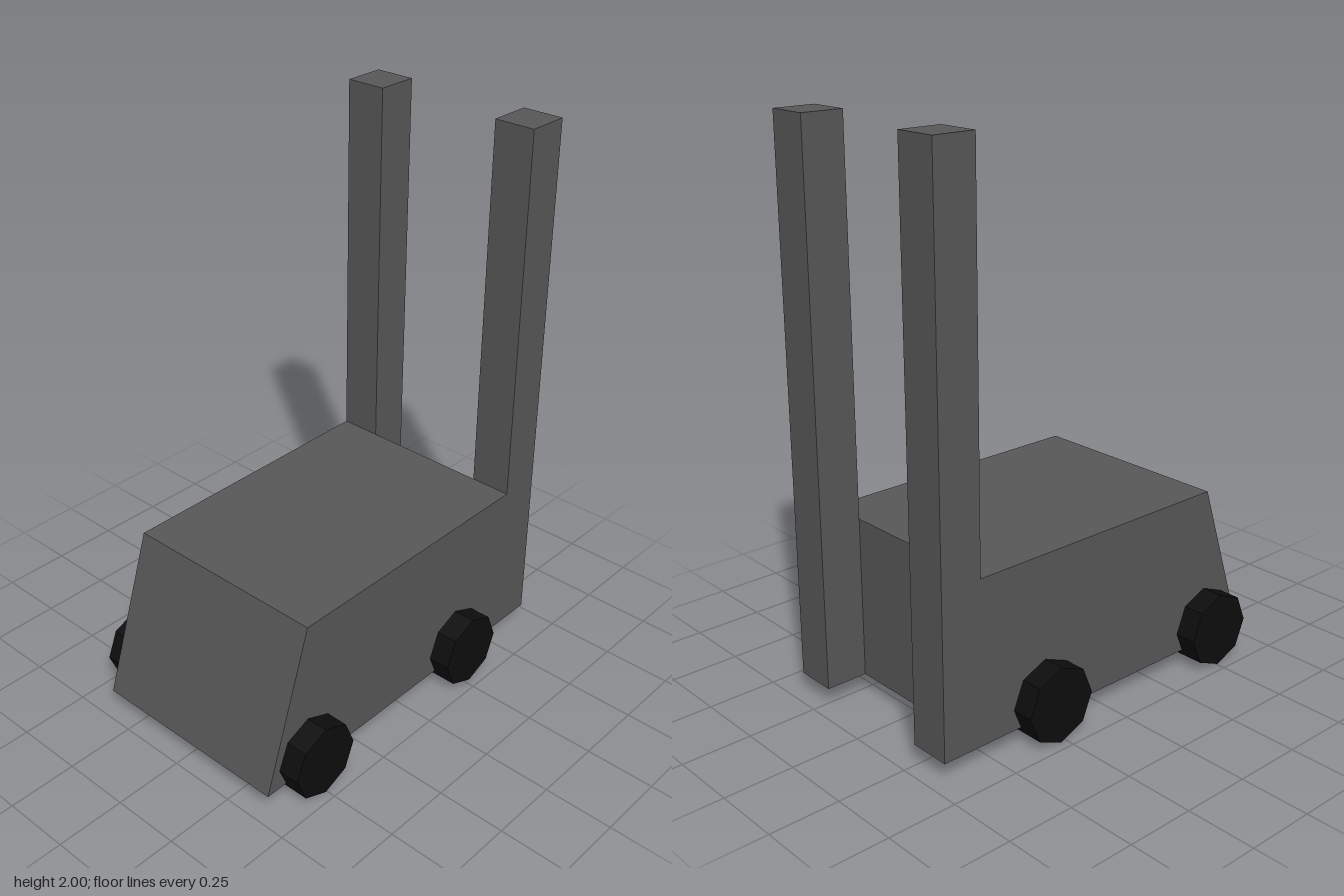
import * as THREE from 'three';

export function createModel() {
  const model = new THREE.Group();
  model.name = 'forklift';
  const bodyGrey = new THREE.MeshStandardMaterial({ color: 0x575757 });
  bodyGrey.name = 'bodyGrey';
  const tyreBlack = new THREE.MeshStandardMaterial({ color: 0x0d0d0d });
  tyreBlack.name = 'tyreBlack';

  const add = (name, geometry, material, x, y, z) => {
    const mesh = new THREE.Mesh(geometry, material);
    mesh.name = name;
    mesh.position.set(x, y, z);
    model.add(mesh);
  };

  const bottom = 0.063, deck = 0.645, top = 2;
  const halfWidth = 0.387, postStart = 0.541, postEnd = 0.695, postWidth = 0.151;

  // Body: side profile with one sloped end, extruded across the width
  const profile = new THREE.Shape([
    new THREE.Vector2(-0.697, bottom),
    new THREE.Vector2(postStart, bottom),
    new THREE.Vector2(postStart, deck),
    new THREE.Vector2(-0.504, deck),
  ]);
  const body = new THREE.ExtrudeGeometry(profile, { depth: halfWidth * 2, bevelEnabled: false });
  add('body', body, bodyGrey, 0, 0, -halfWidth);

  // Mast posts and eight-sided wheels, mirrored across z
  const post = new THREE.BoxGeometry(postEnd - postStart, top - bottom, postWidth);
  const wheel = new THREE.CylinderGeometry(0.136, 0.136, 0.192, 8).toNonIndexed();
  wheel.rotateX(Math.PI / 2);
  wheel.computeVertexNormals();

  for (const [side, s] of [['left', 1], ['right', -1]]) {
    add(side + 'MastPost', post, bodyGrey,
      (postStart + postEnd) / 2, (top + bottom) / 2, s * (halfWidth - postWidth / 2));
    add(side + 'SlopedEndWheel', wheel, tyreBlack, -0.505, 0.136, s * 0.37);
    add(side + 'MastEndWheel', wheel, tyreBlack, 0.27, 0.136, s * 0.37);
  }
  return model;
}
